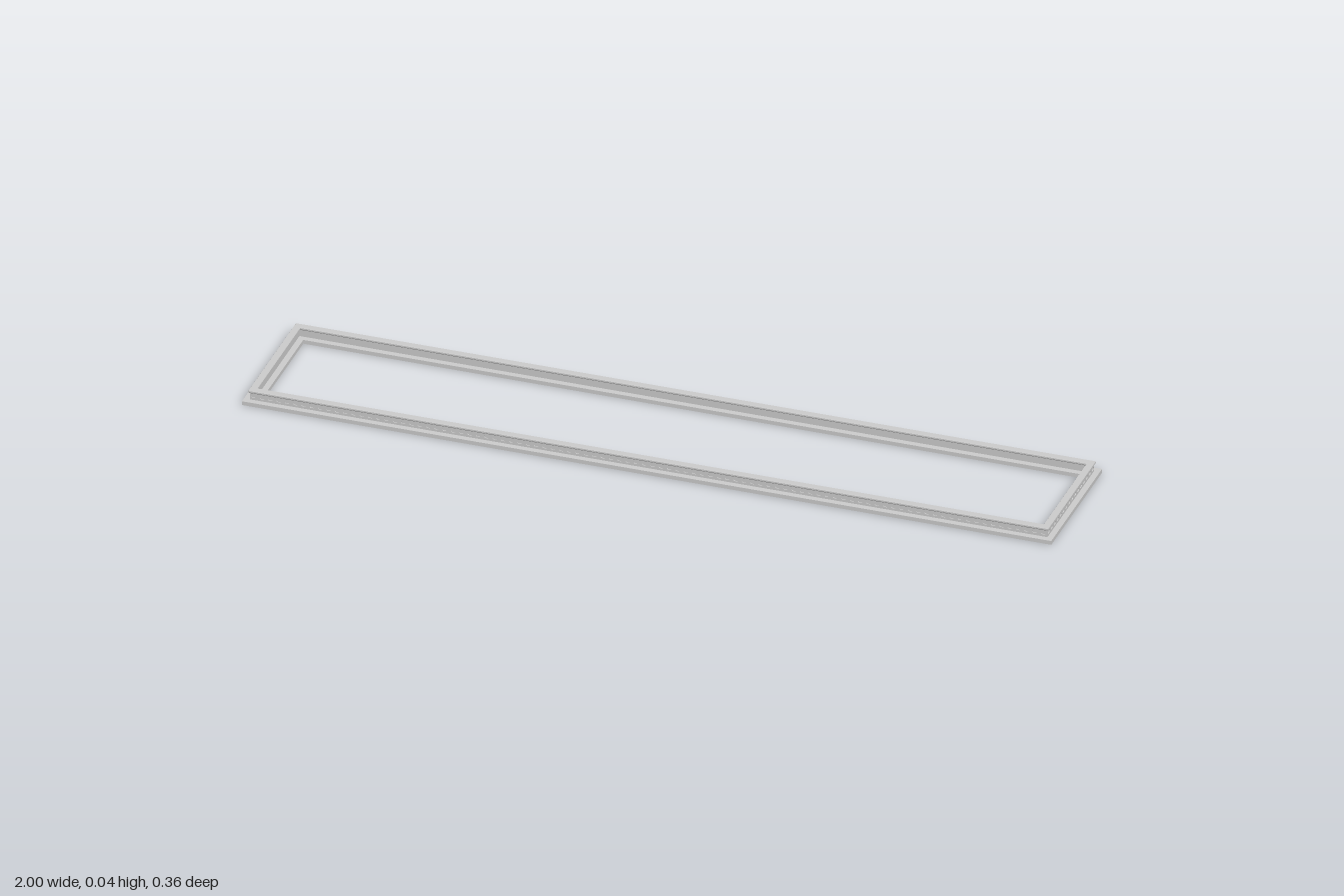
import * as THREE from 'three';

const HX = 1, HZ = 0.18; // half size of the outer rectangle
const material = new THREE.MeshStandardMaterial({ color: 0xcccccc, flatShading: true });

// Sweeps a closed profile of [inset, height] points round the rectangle with mitred corners.
function mitredFrame(name, profile) {
  const corners = [[1, 1], [1, -1], [-1, -1], [-1, 1]];
  const pos = [], index = [], n = profile.length;
  for (const [sx, sz] of corners)
    for (const [d, y] of profile) pos.push(sx * (HX - d), y, sz * (HZ - d));
  for (let c = 0; c < 4; c++)
    for (let i = 0; i < n; i++) {
      const j = (i + 1) % n, e = ((c + 1) % 4) * n;
      const a = c * n + i, b = c * n + j;
      index.push(a, e + i, e + j, a, e + j, b);
    }
  const g = new THREE.BufferGeometry();
  g.setAttribute('position', new THREE.Float32BufferAttribute(pos, 3));
  g.setIndex(index);
  const flat = g.toNonIndexed();
  flat.computeVertexNormals();
  const mesh = new THREE.Mesh(flat, material);
  mesh.name = name;
  return mesh;
}

// Rounded slot outline centred on (x, y)
function slot(x, y, w, h) {
  const p = new THREE.Path(), r = h / 2, s = w / 2 - r;
  p.absarc(x + s, y, r, -Math.PI / 2, Math.PI / 2, false);
  p.absarc(x - s, y, r, Math.PI / 2, Math.PI * 1.5, false);
  p.closePath();
  return p;
}

// Thin strip pierced by a row of slots, facing +z
function slottedStrip(length, count, y0, y1, depth) {
  const s = new THREE.Shape();
  s.moveTo(-length / 2, y0);
  s.lineTo(length / 2, y0);
  s.lineTo(length / 2, y1);
  s.lineTo(-length / 2, y1);
  s.closePath();
  const pitch = length / count;
  for (let i = 0; i < count; i++)
    s.holes.push(slot((i - (count - 1) / 2) * pitch, 0.0195, 0.0125, 0.008));
  return new THREE.ExtrudeGeometry(s, { depth, bevelEnabled: false, curveSegments: 5 });
}

export function createModel() {
  const model = new THREE.Group();
  model.name = 'slottedFrame';

  // Wide flat foot, upright web and chamfered top rail
  model.add(mitredFrame('baseFlange', [[0, 0], [0, 0.01], [0.04, 0.01], [0.04, 0]]));
  model.add(mitredFrame('web', [[0.0165, 0.01], [0.0165, 0.028], [0.0255, 0.028], [0.0255, 0.01]]));
  model.add(mitredFrame('topRail', [
    [0.0145, 0.027], [0.0115, 0.03], [0.0115, 0.0335], [0.0125, 0.035],
    [0.0275, 0.035], [0.0285, 0.0335], [0.0285, 0.03], [0.0255, 0.027],
  ]));

  // Slotted strips on the outside of the web
  const inset = 0.0145, depth = 0.002;
  const long = slottedStrip(2 * (HX - inset), 96, 0.01, 0.027, depth);
  const short = slottedStrip(2 * (HZ - inset), 16, 0.01, 0.027, depth);
  for (const s of [1, -1]) {
    const side = new THREE.Mesh(long, material);
    side.name = s > 0 ? 'frontSlottedStrip' : 'backSlottedStrip';
    side.rotation.y = s > 0 ? 0 : Math.PI;
    side.position.z = s * (HZ - inset - depth);
    const end = new THREE.Mesh(short, material);
    end.name = s > 0 ? 'leftSlottedStrip' : 'rightSlottedStrip';
    end.rotation.y = s * Math.PI / 2;
    end.position.x = s * (HX - inset - depth);
    model.add(side, end);
  }
  return model;
}
